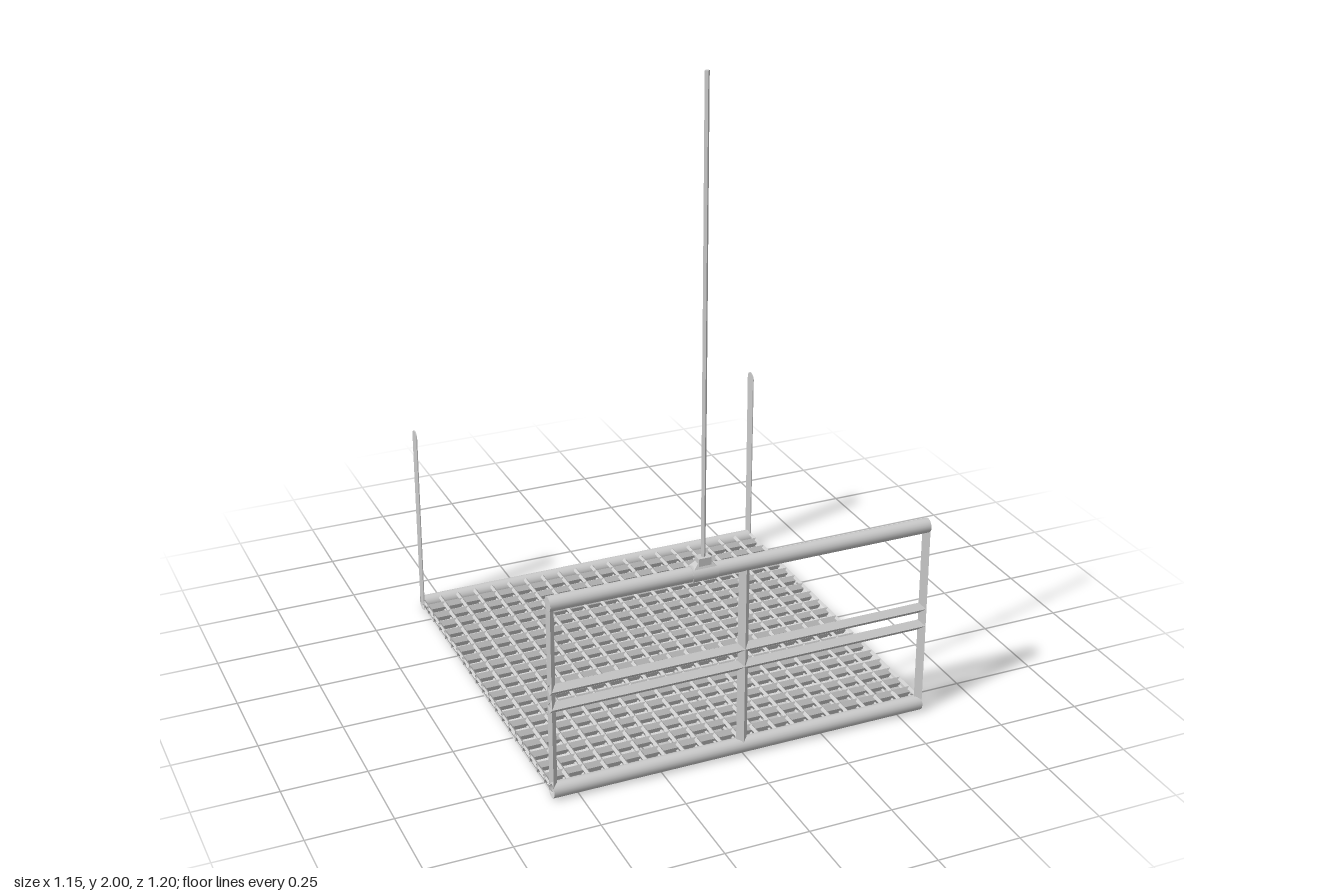
import * as THREE from 'three';

const smooth = new THREE.MeshStandardMaterial({ color: 0xcccccc, side: THREE.DoubleSide });
const faceted = new THREE.MeshStandardMaterial({ color: 0xcccccc, side: THREE.DoubleSide, flatShading: true });

const HALF = 0.575; // half the platform size
const CELL = 0.0575; // grating pitch
const RAIL_Y = 0.602;

function add(parent, name, geometry, material, x, y, z) {
  const mesh = new THREE.Mesh(geometry, material);
  mesh.name = name;
  mesh.position.set(x, y, z);
  parent.add(mesh);
  return mesh;
}

// Open tube centred on the origin, running along the given axis
function tube(axis, radius, length, sides) {
  const g = new THREE.CylinderGeometry(radius, radius, length, sides, 1, true);
  if (axis === 'x') g.rotateZ(Math.PI / 2);
  if (axis === 'z') g.rotateX(Math.PI / 2);
  return g;
}

// Upright half of a four-sided tube, bulging toward the middle of the platform
function halfTube(side, radius, length) {
  return new THREE.CylinderGeometry(radius, radius, length, 2, 1, true, side > 0 ? Math.PI : 0, Math.PI);
}

export function createModel() {
  const model = new THREE.Group();
  model.name = 'hangingPlatform';

  // Floor grating: tall cross bars tied by an upper and a lower layer of rods
  const grating = new THREE.Group();
  grating.name = 'floorGrating';
  model.add(grating);
  const crossBar = tube('x', 0.0065, 2 * HALF, 4).scale(1, 2.5, 1);
  const layers = [
    { name: 'upperRod', radius: 0.007, y: 0.0365, length: 1.12 },
    { name: 'lowerRod', radius: 0.0045, y: 0.0145, length: 2 * HALF },
  ];
  for (let i = -9; i <= 9; i++) {
    add(grating, 'crossBar', crossBar, faceted, 0, 0.0275, i * CELL);
  }
  for (const { name, radius, y, length } of layers) {
    const rod = tube('z', radius, length, 4);
    for (let i = -9; i <= 9; i++) add(grating, name, rod, faceted, i * CELL, y, 0);
    // the outermost rods are cut in half at the platform edge
    for (const s of [1, -1]) {
      add(grating, name, halfTube(s, radius, length).rotateX(Math.PI / 2), faceted, s * HALF, y, 0);
    }
  }

  // Bottom rails, front and back
  for (const s of [1, -1]) {
    add(model, s > 0 ? 'frontBottomRail' : 'backBottomRail',
      tube('x', 0.0225, 2 * HALF, 20), smooth, 0, 0.0225, s * HALF);
  }

  // Front railing: hand rail, two middle rails, centre post
  const railing = new THREE.Group();
  railing.name = 'frontRailing';
  model.add(railing);
  const handRail = new THREE.CylinderGeometry(0.0215, 0.0215, 2 * HALF, 20).rotateZ(Math.PI / 2);
  add(railing, 'handRail', handRail, smooth, 0, RAIL_Y, HALF);
  for (const y of [0.339, 0.284]) {
    add(railing, 'middleRail', tube('x', 0.0165, 2 * HALF, 4), faceted, 0, y, HALF);
  }
  add(railing, 'centrePost', tube('y', 0.0165, 0.56, 4), faceted, 0, 0.315, HALF);

  // Back corner post outline: a flat strip with a round top
  const strip = new THREE.Shape();
  strip.moveTo(-0.018, 0.025);
  strip.lineTo(0.018, 0.025);
  strip.absarc(0, RAIL_Y, 0.0195, 0, Math.PI, false);
  const backPost = new THREE.ExtrudeGeometry(strip, { depth: 0.003, bevelEnabled: false, curveSegments: 10 })
    .translate(0, 0, -0.0015).rotateY(Math.PI / 2);

  // Corner posts, left and right
  for (const s of [1, -1]) {
    add(railing, 'frontCornerPost', halfTube(s, 0.017, 0.56), faceted, s * HALF, 0.315, HALF);
    add(model, 'backCornerPost', backPost, faceted, s * (HALF - 0.0015), 0, -HALF);
  }

  // Cable clamp: sleeve on the hand rail, sloped shoulder and socket, then the cable
  const CX = -0.124;
  const clamp = new THREE.Group();
  clamp.name = 'cableClamp';
  model.add(clamp);
  const sleeve = new THREE.CylinderGeometry(0.0235, 0.0235, 0.074, 20).rotateZ(Math.PI / 2);
  add(clamp, 'clampSleeve', sleeve, smooth, CX, RAIL_Y, HALF);
  const shoulder = new THREE.CylinderGeometry(0.02 * Math.SQRT2, 0.034 * Math.SQRT2, 0.014, 4)
    .rotateY(Math.PI / 4).scale(1, 1, 0.5);
  add(clamp, 'clampShoulder', shoulder, faceted, CX, 0.628, HALF);
  add(clamp, 'clampSocket', new THREE.BoxGeometry(0.038, 0.024, 0.028), faceted, CX, 0.638, HALF);
  add(model, 'cable', new THREE.CylinderGeometry(0.007, 0.007, 1.36, 4), faceted, CX, 1.32, HALF);

  return model;
}
